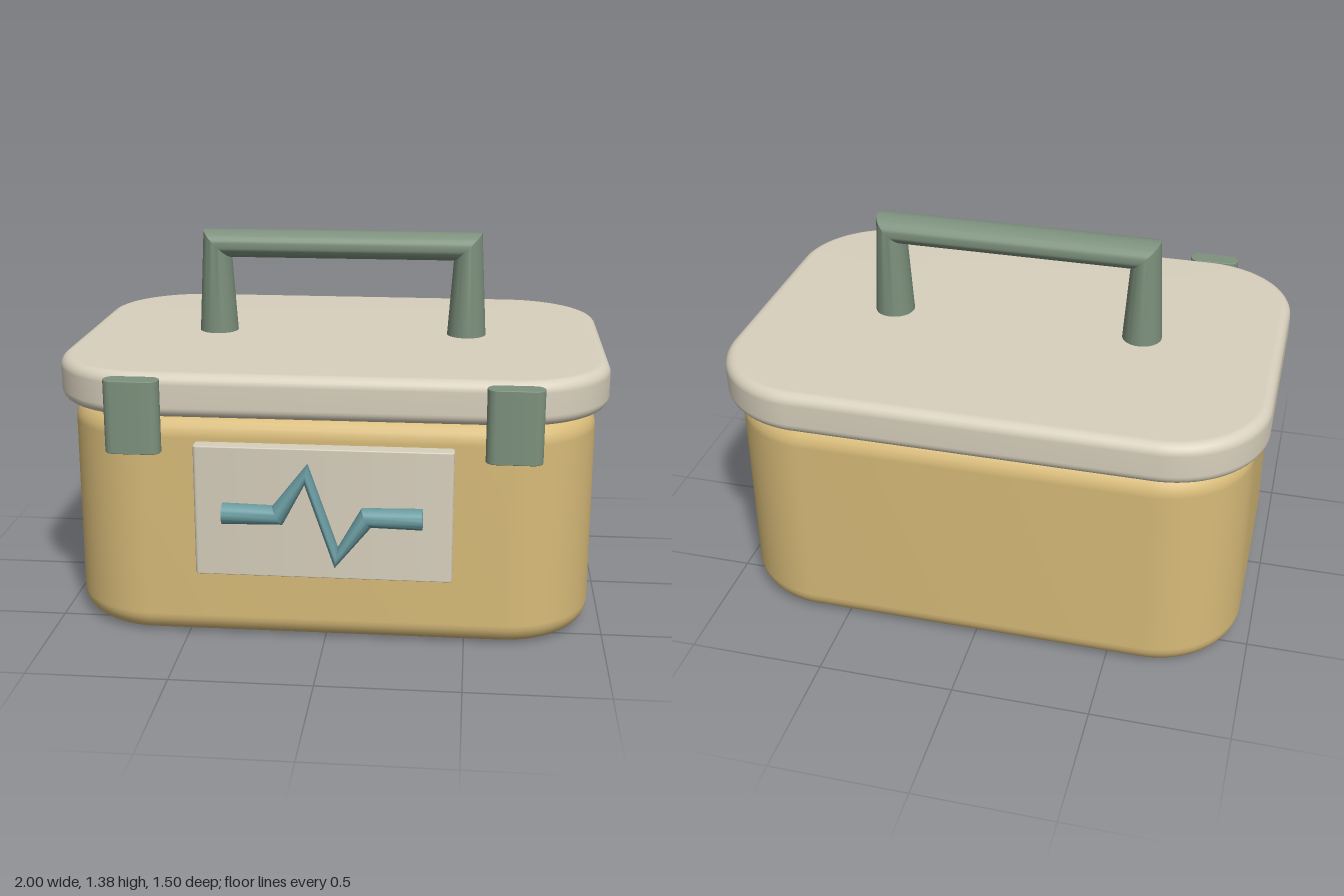
import * as THREE from 'three';
import { toCreasedNormals } from 'three/addons/utils/BufferGeometryUtils.js';

const material = (name, color) => {
  const m = new THREE.MeshStandardMaterial({ color });
  m.name = name;
  return m;
};

// Slab with a rounded-rectangle footprint (radius r) and soft rims (radius b), standing on y = 0:
// a lathed disc whose four quarters are pushed out to the corners.
function roundedSlab(w, h, d, r, b, steps = 16) {
  const profile = [new THREE.Vector2(0, 0)];
  for (const top of [0, 1]) {
    for (let i = 0; i <= 6; i++) {
      const a = (i / 6 + top - 1) * Math.PI / 2;
      profile.push(new THREE.Vector2(r - b + b * Math.cos(a), (top ? h - b : b) + b * Math.sin(a)));
    }
  }
  profile.push(new THREE.Vector2(0, h));
  const geo = new THREE.LatheGeometry(profile, steps * 4, Math.PI / steps / 4, Math.PI * 2);
  const p = geo.attributes.position;
  for (let i = 0; i < p.count; i++) {
    const x = p.getX(i), z = p.getZ(i);
    if (Math.hypot(x, z) < 1e-6) continue; // cap centres stay put
    p.setX(i, x + Math.sign(x) * (w / 2 - r));
    p.setZ(i, z + Math.sign(z) * (d / 2 - r));
  }
  return geo;
}

// Capped round bar through points in the xy plane; each ring faces the average direction at its bend.
function bentBar(points, radius) {
  const pts = points.map(([x, y]) => new THREE.Vector2(x, y));
  const n = pts.length - 1;
  const dirs = pts.slice(1).map((q, i) => q.clone().sub(pts[i]).normalize());
  const tangents = pts.map((_, i) =>
    dirs[Math.max(i - 1, 0)].clone().add(dirs[Math.min(i, n - 1)]).normalize());
  const geo = new THREE.CylinderGeometry(radius, radius, 1, 32, n);
  const p = geo.attributes.position;
  for (let i = 0; i < p.count; i++) {
    const k = Math.round((0.5 - p.getY(i)) * n);
    const x = p.getX(i), t = tangents[k];
    p.setXY(i, pts[k].x - t.y * x, pts[k].y + t.x * x);
  }
  return toCreasedNormals(geo, 0.45);
}

export function createModel() {
  const tan = material('tan', 0xd8bb79);
  const cream = material('cream', 0xd8d0bd);
  const green = material('sage green', 0x7d917d);
  const teal = material('teal', 0x6a9ca1);

  const group = new THREE.Group();
  group.name = 'carryCase';
  const add = (name, geometry, mat, x, y, z) => {
    const mesh = new THREE.Mesh(geometry, mat);
    mesh.name = name;
    mesh.position.set(x, y, z);
    group.add(mesh);
  };
  const zMid = -0.035;

  // Box and lid
  add('body', roundedSlab(1.91, 0.83, 1.35, 0.33, 0.08), tan, 0, 0, zMid);
  add('lid', roundedSlab(2, 0.16, 1.43, 0.36, 0.04), cream, 0, 0.83, zMid);

  // Carrying handle
  add('handle', bentBar([[-0.48, 0.97], [-0.48, 1.33], [0.48, 1.33], [0.48, 0.97]], 0.075),
    green, 0, 0, zMid);

  // Front latches
  for (const side of [-1, 1]) {
    add(side > 0 ? 'leftLatch' : 'rightLatch',
      roundedSlab(0.195, 0.26, 0.075, 0.036, 0.003, 8), green, side * 0.657, 0.72, 0.7135);
  }

  // Front panel with a raised pulse line
  add('frontPanel', roundedSlab(0.91, 0.475, 0.06, 0.015, 0.004, 6), cream, 0, 0.265, 0.667);
  add('pulseLine', bentBar([[-0.35, 0.503], [-0.155, 0.503], [-0.055, 0.655],
    [0.05, 0.352], [0.155, 0.503], [0.35, 0.503]], 0.0375), teal, 0, 0, 0.7135);

  return group;
}
